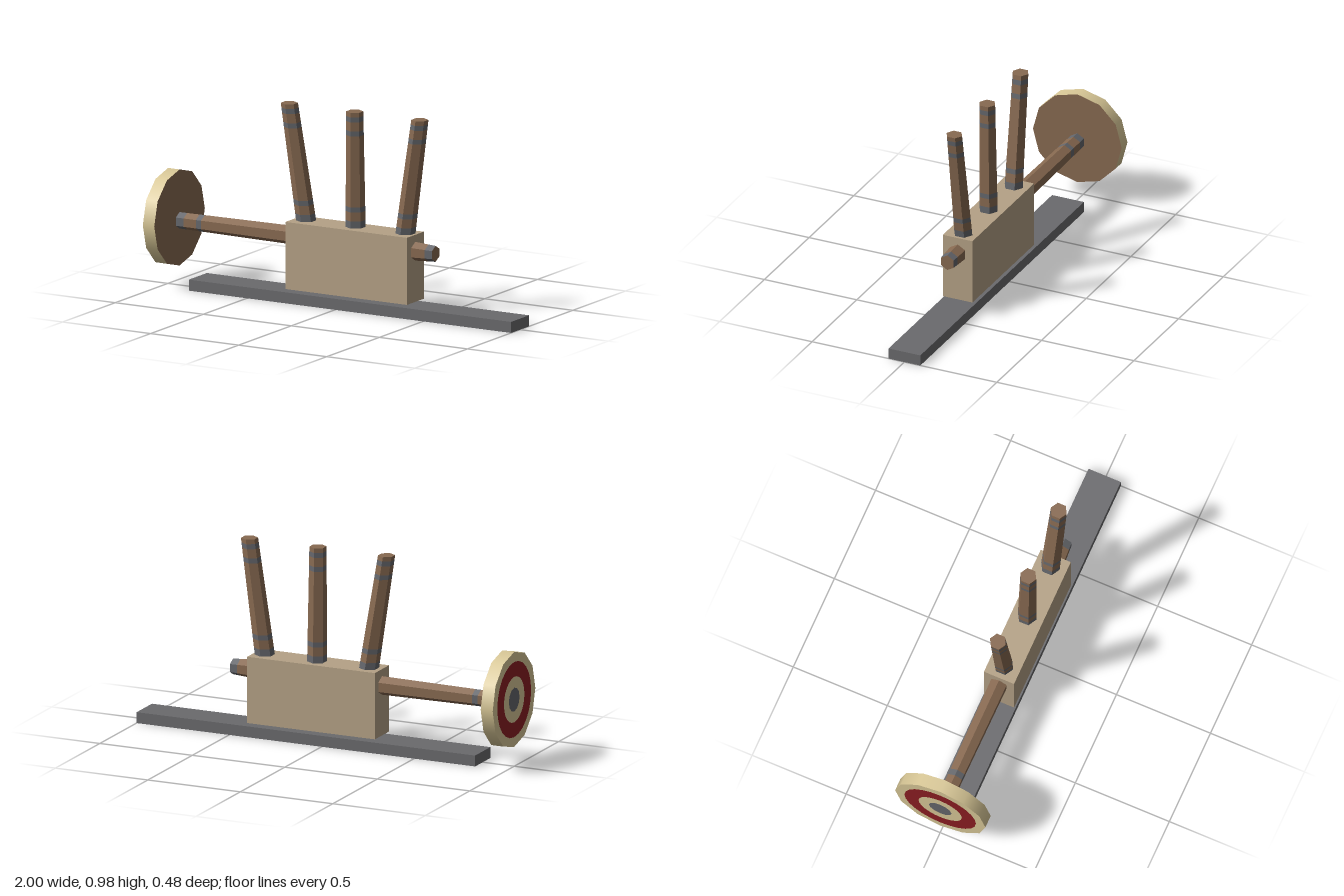
import * as THREE from 'three';

const mat = (name, color) => {
  const m = new THREE.MeshStandardMaterial({ color });
  m.name = name;
  return m;
};

export function createModel() {
  const plank = mat('plankGrey', 0x6a6a6d);
  const block = mat('blockTan', 0xb5a286);
  const wood = mat('woodBrown', 0x886a51);
  const band = mat('bandGrey', 0x65676c);
  const cream = mat('targetCream', 0xd9c897);
  const red = mat('targetRed', 0x8c1e22);
  const model = new THREE.Group();

  const add = (parent, name, geometry, material) => {
    const mesh = new THREE.Mesh(geometry, material);
    mesh.name = name;
    parent.add(mesh);
    return mesh;
  };

  // Box from its lower and upper corners
  const box = (name, a, b, material) => {
    const g = new THREE.BoxGeometry(b[0] - a[0], b[1] - a[1], b[2] - a[2]);
    g.translate((a[0] + b[0]) / 2, (a[1] + b[1]) / 2, (a[2] + b[2]) / 2);
    add(model, name, g, material);
  };

  // Hexagonal tapered rod along y with level ends, a sideways lean and grey bands
  const rod = (name, { from, to, r0, r1, x0 = 0, x1 = 0, z0 = 0, z1 = 0, turn = 0, bands = [] }) => {
    const group = new THREE.Group();
    group.name = name;
    const at = (a, b, y) => THREE.MathUtils.mapLinear(y, from, to, a, b);
    const stops = [from, ...bands.flat(), to];
    for (let i = 0; i < stops.length - 1; i++) {
      const a = stops[i], b = stops[i + 1];
      if (b - a < 1e-4) continue;
      let g = new THREE.CylinderGeometry(at(r0, r1, b), at(r0, r1, a), b - a, 6, 1, true, turn);
      g.translate(0, (a + b) / 2, 0);
      const p = g.attributes.position;
      for (let k = 0; k < p.count; k++) {
        const y = p.getY(k);
        p.setXYZ(k, p.getX(k) + at(x0, x1, y), y, p.getZ(k) + at(z0, z1, y));
      }
      g = g.toNonIndexed();
      g.computeVertexNormals();
      add(group, i % 2 ? 'band' : 'shaft', g, i % 2 ? band : wood);
    }
    // End caps
    for (const top of [true, false]) {
      const g = new THREE.CircleGeometry(top ? r1 : r0, 6, Math.PI / 6 - turn);
      g.rotateX(top ? -Math.PI / 2 : Math.PI / 2);
      g.translate(top ? x1 : x0, top ? to : from, top ? z1 : z0);
      add(group, 'endCap', g, wood);
    }
    model.add(group);
    return group;
  };

  // Ground plank and main block
  box('basePlank', [-0.83, 0, -0.086], [1, 0.055, 0.086], plank);
  box('body', [-0.285, 0.07, -0.08], [0.405, 0.405, 0.08], block);

  // Three fanned posts
  const posts = [['rightPost', -0.217, -0.308], ['middlePost', 0.064, 0.063], ['leftPost', 0.347, 0.433]];
  for (const [name, x0, x1] of posts) {
    rod(name, {
      from: 0.405, to: 0.983, r0: 0.049, r1: 0.042, x0, x1, z0: -0.003, z1: 0.004,
      bands: [[0.405, 0.44], [0.485, 0.51], [0.865, 0.89], [0.935, 0.96]],
    });
  }

  // Horizontal axle: long handle to the disc, short stub on the other side
  const handle = rod('handle', {
    from: -0.935, to: -0.285, r0: 0.041, r1: 0.047, turn: Math.PI / 6,
    bands: [[-0.935, -0.89], [-0.82, -0.79]],
  });
  const stub = rod('stub', {
    from: 0.405, to: 0.52, r0: 0.047, r1: 0.04, turn: Math.PI / 6, bands: [[0.48, 0.52]],
  });
  for (const part of [handle, stub]) {
    part.rotation.z = -Math.PI / 2;
    part.position.y = 0.323;
  }

  // Round target disc with painted rings on its outer face
  const disc = new THREE.Group();
  disc.name = 'targetDisc';
  disc.position.y = 0.337;
  const plate = new THREE.CylinderGeometry(0.24, 0.24, 0.065, 12);
  plate.rotateZ(-Math.PI / 2);
  plate.translate(-0.9665, 0, 0);
  add(disc, 'plate', plate, [cream, wood, cream]);
  const ring = new THREE.RingGeometry(0.115, 0.19, 24);
  const centre = new THREE.CircleGeometry(0.06, 12);
  for (const [name, g, m] of [['redRing', ring, red], ['bullseye', centre, band]]) {
    g.rotateY(-Math.PI / 2);
    g.translate(-1, 0, 0);
    add(disc, name, g, m);
  }
  model.add(disc);
  return model;
}
